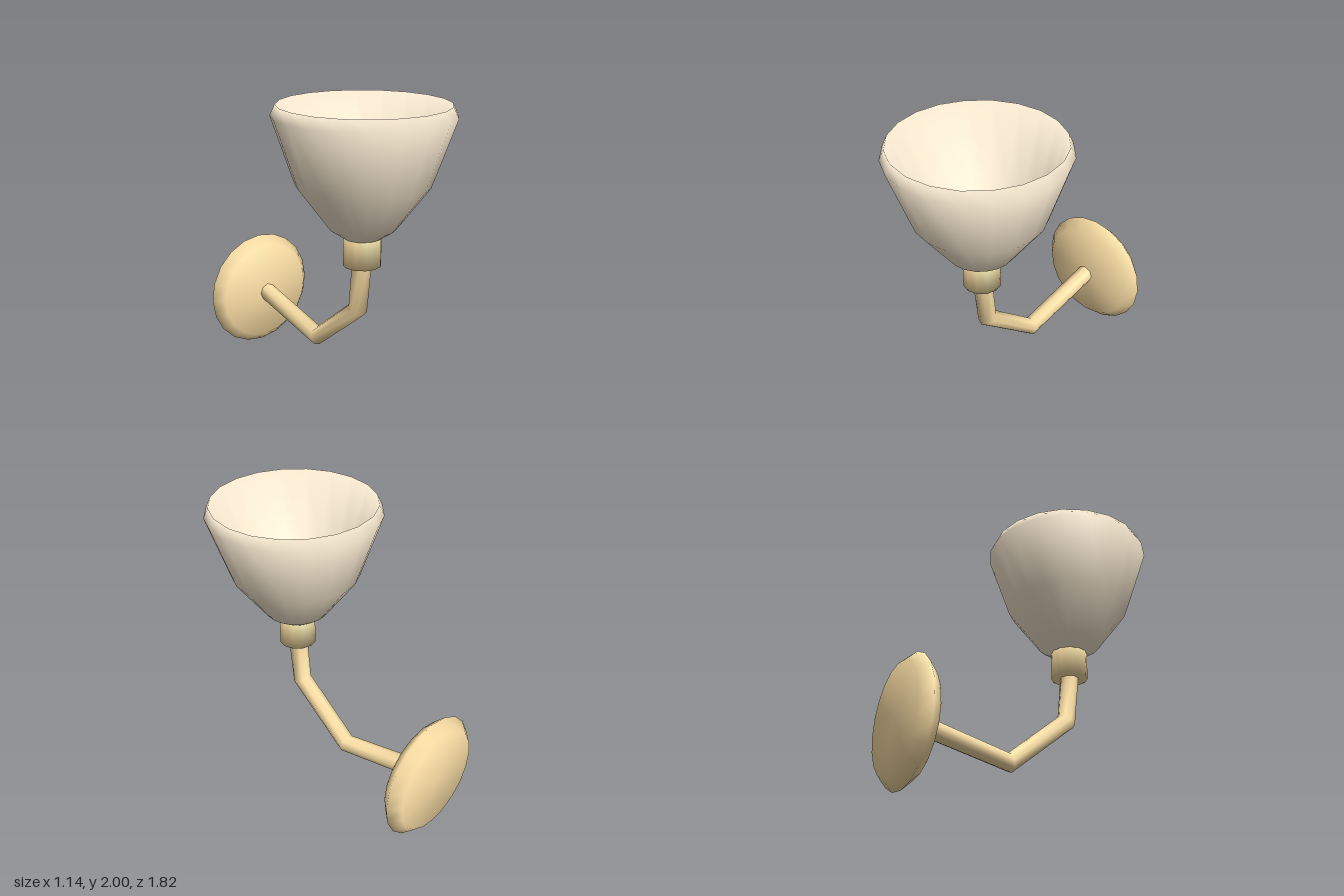
import * as THREE from 'three';

const glass = new THREE.MeshStandardMaterial({ color: 0xfff0d6, side: THREE.DoubleSide });
const brass = new THREE.MeshStandardMaterial({ color: 0xffe2a8 });
const SHADE_Z = 0.34;

// Surface of revolution from [radius, height] pairs, listed bottom to top for outward faces.
// Normals give every profile segment equal weight, so narrow bevels look softly rounded.
function lathe(name, profile, sides, material) {
  const points = profile.map(([r, y]) => new THREE.Vector2(r, y));
  const geometry = new THREE.LatheGeometry(points, sides);
  const slopes = points.slice(1).map((p, i) =>
    new THREE.Vector2(p.y - points[i].y, points[i].x - p.x).normalize());
  const normals = points.map((p, j) => {
    const n = new THREE.Vector2();
    if (j > 0) n.add(slopes[j - 1]);
    if (j < slopes.length) n.add(slopes[j]);
    if (p.x === 0) n.x = 0;
    return n.normalize();
  });
  for (let i = 0; i <= sides; i++) {
    const a = (i / sides) * Math.PI * 2;
    normals.forEach((n, j) => geometry.attributes.normal.setXYZ(
      i * points.length + j, n.x * Math.sin(a), n.y, n.x * Math.cos(a)));
  }
  const mesh = new THREE.Mesh(geometry, material);
  mesh.name = name;
  return mesh;
}

// Round bar along a bent path in the x = 0 plane, one ring of corners per path point
function bentBar(path, radius, sides) {
  const pts = path.map(([z, y]) => new THREE.Vector3(0, y, z));
  const across = new THREE.Vector3(1, 0, 0);
  const positions = [], index = [];
  pts.forEach((p, i) => {
    const before = i > 0 ? p.clone().sub(pts[i - 1]).normalize() : new THREE.Vector3();
    const after = i < pts.length - 1 ? pts[i + 1].clone().sub(p).normalize() : new THREE.Vector3();
    const up = before.add(after).normalize().cross(across);
    for (let j = 0; j < sides; j++) {
      const a = (j / sides) * Math.PI * 2;
      const v = p.clone()
        .addScaledVector(across, Math.cos(a) * radius)
        .addScaledVector(up, Math.sin(a) * radius);
      positions.push(v.x, v.y, v.z);
      if (i === 0) continue;
      const k = (j + 1) % sides, r0 = (i - 1) * sides, r1 = i * sides;
      index.push(r0 + j, r0 + k, r1 + k, r0 + j, r1 + k, r1 + j);
    }
  });
  const geometry = new THREE.BufferGeometry();
  geometry.setAttribute('position', new THREE.Float32BufferAttribute(positions, 3));
  geometry.setIndex(index);
  geometry.computeVertexNormals();
  return geometry;
}

export function createModel() {
  const model = new THREE.Group();
  model.name = 'wallLamp';

  // Open, flared shade: outer wall, soft rim, then down the inner wall
  const shade = lathe('shade', [
    [0.12, 1.153], [0.215, 1.218], [0.425, 1.503], [0.57, 1.932],
    [0.537, 2], [0.38, 1.52], [0.18, 1.245]
  ], 20, glass);
  shade.position.z = SHADE_Z;
  model.add(shade);

  // Socket cup reaching up into the shade
  const socket = lathe('socket',
    [[0, 0.967], [0.125, 0.967], [0.125, 1.2], [0, 1.2]], 12, brass);
  socket.position.z = SHADE_Z;
  model.add(socket);

  // Bent arm from socket to wall plate
  const arm = new THREE.Mesh(
    bentBar([[0.343, 1.02], [0.305, 0.646], [-0.125, 0.288], [-0.78, 0.435]], 0.064, 8), brass);
  arm.name = 'arm';
  model.add(arm);

  // Round wall plate with a bevelled edge, facing forward
  const plate = lathe('wallPlate',
    [[0, -0.91], [0.36, -0.91], [0.427, -0.84], [0.36, -0.77], [0, -0.735]], 20, brass);
  plate.position.y = 0.43;
  plate.rotation.x = Math.PI / 2;
  model.add(plate);

  return model;
}
